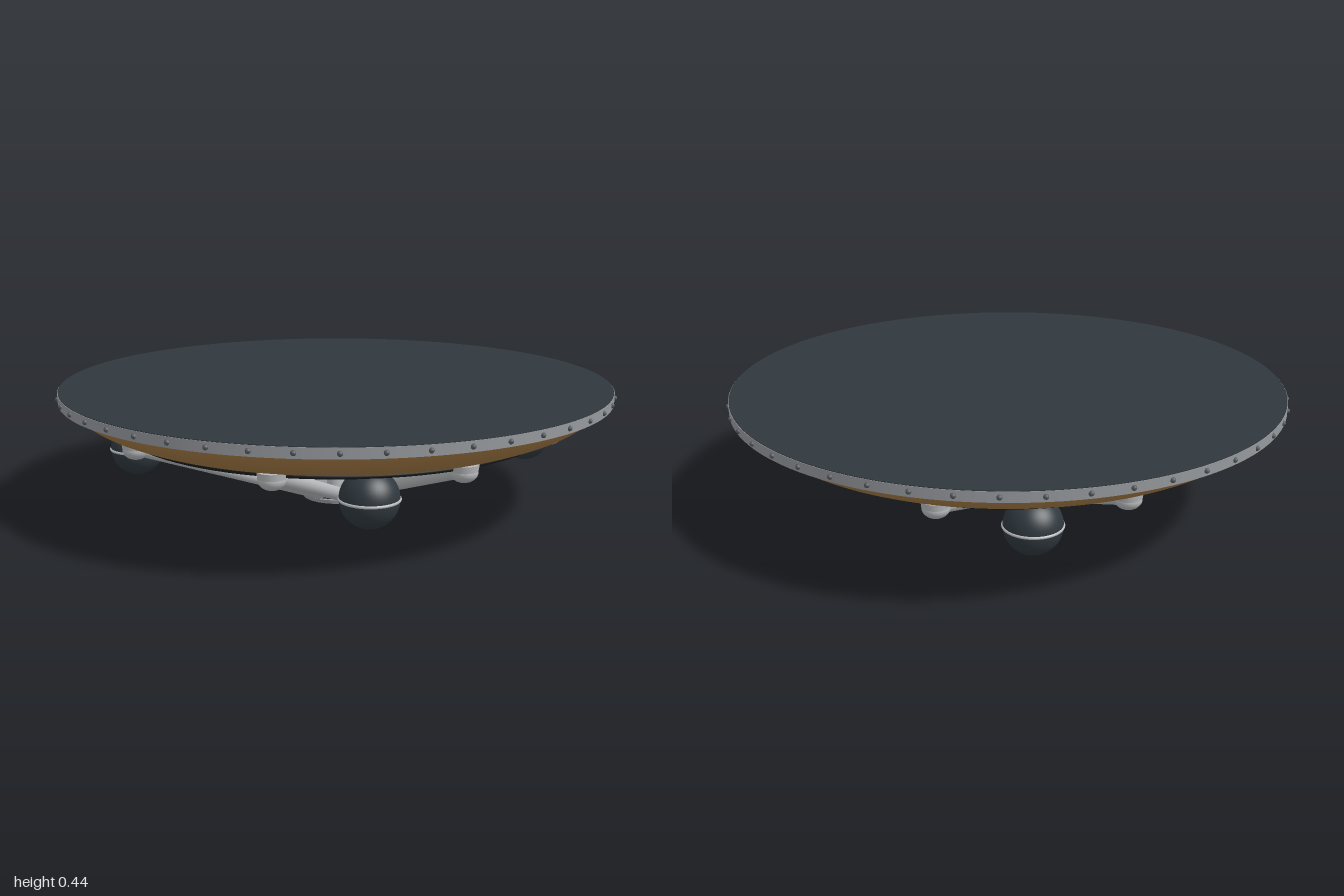
import * as THREE from 'three';

const mat = (name, color) => Object.assign(new THREE.MeshStandardMaterial({ color }), { name });

export function createModel() {
  const root = new THREE.Group();
  root.name = 'saucerPlatform';
  const slate = mat('dark slate', 0x2f383e);
  const bronze = mat('bronze', 0xa57a45);
  const steel = mat('steel grey', 0x96999d);
  const pale = mat('pale grey', 0xb6b8bb);
  const black = mat('seam black', 0x15191b);
  const rivetMat = mat('rivet grey', 0x55595d);

  const add = (name, geo, material, x = 0, y = 0, z = 0, parent = root) => {
    const m = new THREE.Mesh(geo, material);
    m.name = name;
    m.position.set(x, y, z);
    parent.add(m);
    return m;
  };
  const flatRing = (name, r, tube, y, material, x = 0, z = 0) => {
    const m = add(name, new THREE.TorusGeometry(r, tube, 8, 96), material, x, y, z);
    m.rotation.x = Math.PI / 2;
    return m;
  };
  // cylinder between two points
  const rod = (name, a, b, ra, rb, material) => {
    const d = b.clone().sub(a);
    const m = add(name, new THREE.CylinderGeometry(rb, ra, d.length(), 20), material);
    m.position.copy(a).addScaledVector(d, 0.5);
    m.quaternion.setFromUnitVectors(new THREE.Vector3(0, 1, 0), d.normalize());
    return m;
  };
  // point on a circle, with a sideways offset
  const polar = (a, r, y, side = 0) => new THREE.Vector3(
    Math.sin(a) * r + Math.cos(a) * side, y, Math.cos(a) * r - Math.sin(a) * side);

  // deck and rim band
  add('rim', new THREE.CylinderGeometry(0.99, 0.99, 0.034, 128), steel, 0, 0.421, 0);
  add('deck', new THREE.CylinderGeometry(0.988, 0.988, 0.004, 128), slate, 0, 0.438, 0);
  for (let i = 0; i < 48; i++) {
    const p = polar(i * Math.PI / 24, 0.99, 0.421);
    add('rivet', new THREE.SphereGeometry(0.009, 8, 6), rivetMat, p.x, p.y, p.z);
  }

  // shallow bowl hull
  const profile = new THREE.SplineCurve([
    [0.001, 0.225], [0.22, 0.227], [0.43, 0.236], [0.6, 0.258], [0.77, 0.293],
    [0.86, 0.325], [0.91, 0.353], [0.94, 0.38], [0.958, 0.406],
  ].map(([x, y]) => new THREE.Vector2(x, y)));
  add('hull', new THREE.LatheGeometry(profile.getPoints(40), 128), bronze);
  flatRing('outerSeam', 0.775, 0.008, 0.292, black);
  flatRing('innerSeam', 0.43, 0.008, 0.235, black);

  // eight twin-tube struts running from the hull to the hub
  for (let i = 0; i < 8; i++) {
    const a = i * Math.PI / 4;
    for (const s of [-1, 1]) {
      rod('strut', polar(a, 0.095, 0.032, s * 0.036), polar(a, 0.765, 0.28, s * 0.01), 0.025, 0.025, pale);
    }
    const p = polar(a, 0.775, 0.277);
    add('strutKnob', new THREE.SphereGeometry(0.045, 24, 16), pale, p.x, p.y, p.z).scale.y = 0.75;
    const c = polar(a, 0.775, 0.293);
    add('knobCollar', new THREE.CylinderGeometry(0.048, 0.045, 0.022, 24), pale, c.x, c.y, c.z);
  }

  // hub
  add('hubPlate', new THREE.CylinderGeometry(0.125, 0.122, 0.014, 48), steel, 0, 0.007, 0);
  add('hubBand', new THREE.CylinderGeometry(0.11, 0.11, 0.018, 48), black, 0, 0.022, 0);
  add('hubCap', new THREE.CylinderGeometry(0.09, 0.11, 0.012, 48), steel, 0, 0.036, 0);
  add('hubPost', new THREE.CylinderGeometry(0.025, 0.035, 0.2, 24), pale, 0, 0.13, 0);

  // small flanged nozzles under the hull
  for (let i = 0; i < 3; i++) {
    const p = polar(-Math.PI / 2 + i * Math.PI * 2 / 3, 0.21, 0);
    add('nozzle', new THREE.CylinderGeometry(0.022, 0.022, 0.1, 20), pale, p.x, 0.185, p.z);
    add('nozzleFlange', new THREE.CylinderGeometry(0.033, 0.033, 0.014, 20), pale, p.x, 0.172, p.z);
  }

  // four ball pods with equator bands
  for (let i = 0; i < 4; i++) {
    const p = polar(Math.PI / 8 + i * Math.PI / 2, 0.725, 0.207);
    add('pod', new THREE.SphereGeometry(0.095, 40, 28), slate, p.x, p.y, p.z);
    flatRing('podBand', 0.094, 0.005, p.y, pale, p.x, p.z);
  }
  return root;
}
